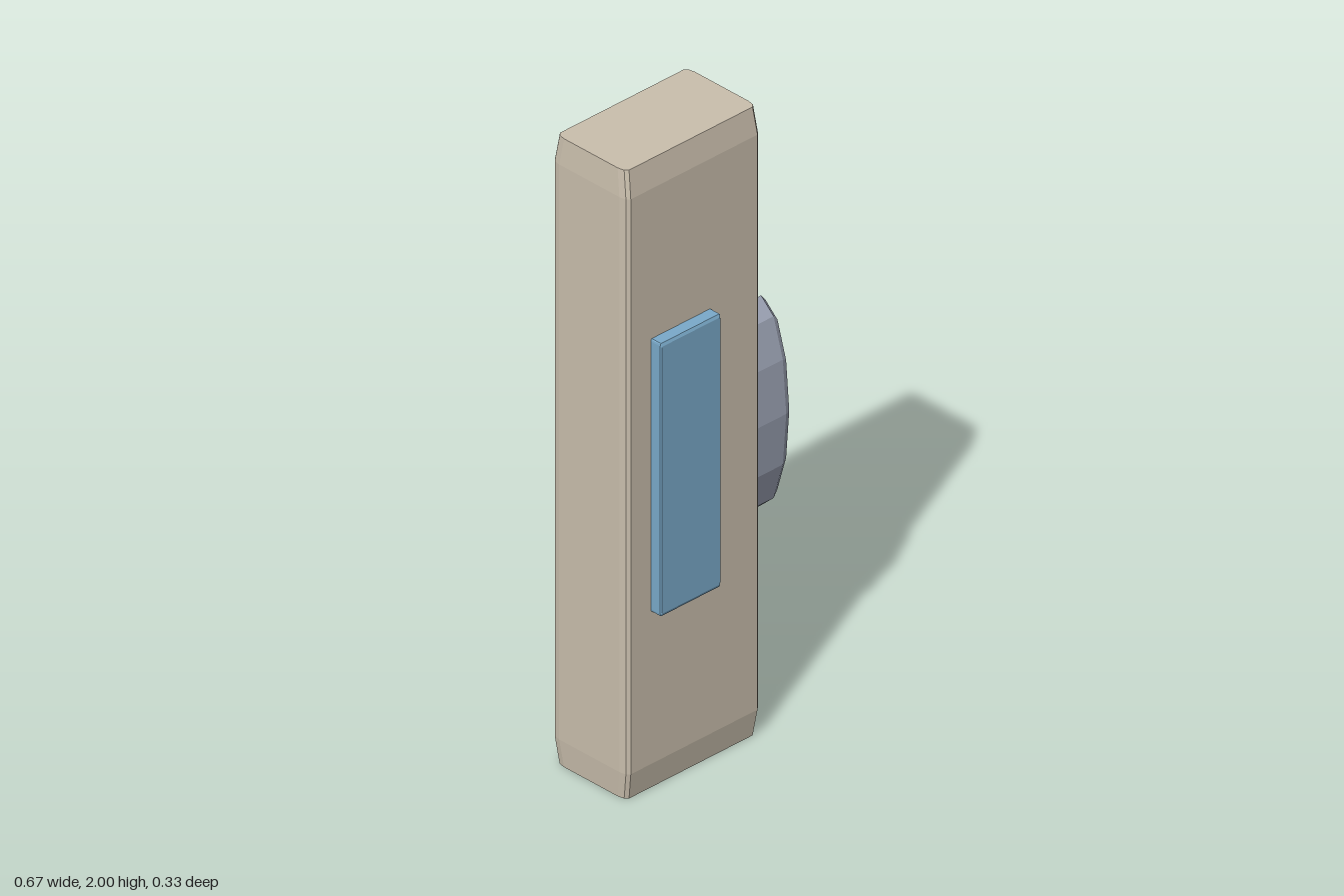
import * as THREE from 'three';

// Rounded-corner rectangle ring, half sizes hx and hz, corner radii rx and rz
function roundedRing(hx, hz, rx, rz, y) {
  const ring = [];
  const steps = 2;
  for (let q = 0; q < 4; q++) {
    const mid = Math.PI / 4 + q * Math.PI / 2;
    const sx = Math.sign(Math.sin(mid)), sz = Math.sign(Math.cos(mid));
    for (let s = 0; s <= steps; s++) {
      const a = (q + s / steps) * Math.PI / 2;
      ring.push([sx * (hx - rx) + rx * Math.sin(a), y, sz * (hz - rz) + rz * Math.cos(a)]);
    }
  }
  return ring;
}

// Closed solid through a stack of equal-length rings, bottom to top
function loft(rings) {
  const n = rings[0].length, index = [];
  for (let r = 0; r < rings.length - 1; r++) {
    for (let i = 0; i < n; i++) {
      const a = r * n + i, b = r * n + (i + 1) % n;
      index.push(a, b, a + n, b, b + n, a + n);
    }
  }
  const top = (rings.length - 1) * n;
  for (let i = 1; i < n - 1; i++) {
    index.push(0, i + 1, i, top, top + i, top + i + 1);
  }
  const geometry = new THREE.BufferGeometry();
  geometry.setAttribute('position', new THREE.Float32BufferAttribute(rings.flat(2), 3));
  geometry.setIndex(index);
  geometry.computeVertexNormals();
  return geometry;
}

function material(name, color) {
  const m = new THREE.MeshStandardMaterial({ color, flatShading: true });
  m.name = name;
  return m;
}

export function createModel() {
  const group = new THREE.Group();
  group.name = 'wallSwitch';
  const add = (name, geometry, mat, x, y, z) => {
    const mesh = new THREE.Mesh(geometry, mat);
    mesh.name = name;
    mesh.position.set(x, y, z);
    group.add(mesh);
  };
  const beige = material('beige casing', 0xcabfad);
  const blue = material('blue panel', 0x7aaaca);
  const grey = material('grey knob', 0x9ba2b3);

  // Tall casing with softened vertical edges and sloped ends
  const body = loft([[0, 0.006, 0.013], [0.085, 0, 0], [1.915, 0, 0], [2, 0.006, 0.013]].map(
    ([y, ix, iz]) => roundedRing(0.253 - ix, 0.147 - iz, 0.014, 0.03, y)));
  add('casing', body, beige, -0.08, 0, -0.02);

  // Front panel with a fine bevel
  const panel = loft([[0, 0], [0.043, 0], [0.047, 0.003]].map(
    ([y, inset]) => roundedRing(0.113 - inset, 0.434 - inset * 3, 0.003, 0.008, y)));
  panel.rotateX(Math.PI / 2);
  add('frontPanel', panel, blue, -0.13, 1.004, 0.12);

  // Twelve-sided oval knob on the side, chamfered at its outer end
  const profile = [[0, 0], [1, 0], [1, 0.155], [0.93, 0.173], [0, 0.173]];
  const knob = new THREE.LatheGeometry(profile.map(([r, y]) => new THREE.Vector2(r, y)), 12);
  knob.rotateZ(-Math.PI / 2);
  knob.scale(1, 0.334, 0.098);
  add('sideKnob', knob, grey, 0.16, 0.937, -0.02);

  return group;
}
